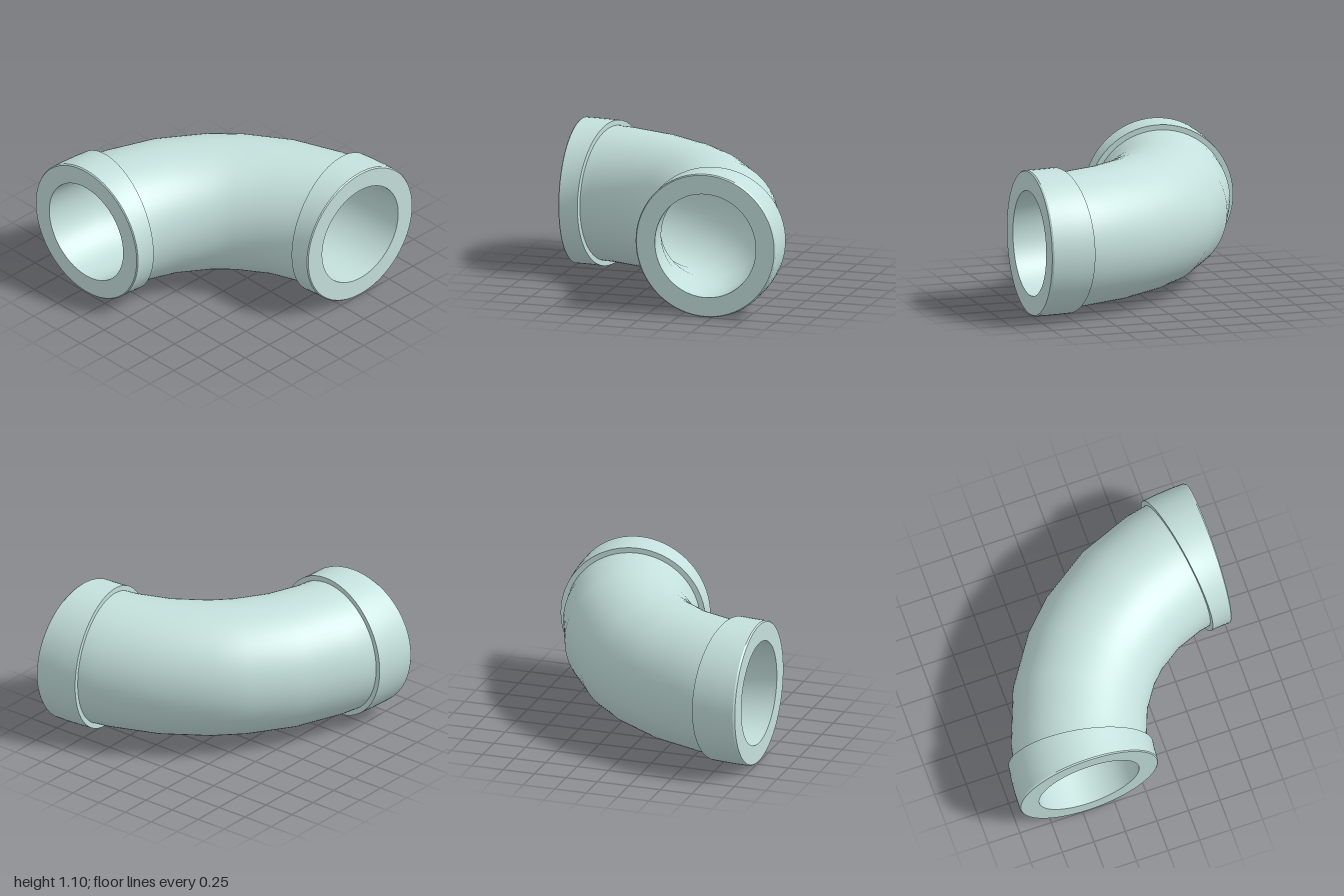
import * as THREE from 'three';

const SIDES = 72;
const BEND = 1.45;    // centreline radius of the elbow, about the corner x = 1, z = 1
const PIPE = 0.51, COLLAR = 0.55, BORE = 0.397, COLLAR_ANGLE = 10;

// Smooth skin through circular sections; each row is [bend angle in degrees, section radius]
function skin(rows, material, name) {
  const pos = [], index = [];
  for (const [deg, r] of rows) {
    const t = THREE.MathUtils.degToRad(deg);
    for (let j = 0; j < SIDES; j++) {
      const a = (j / SIDES) * Math.PI * 2;
      const R = BEND + r * Math.cos(a);
      pos.push(1 - R * Math.cos(t), COLLAR + r * Math.sin(a), 1 - R * Math.sin(t));
    }
  }
  for (let i = 0; i < rows.length - 1; i++) {
    for (let j = 0; j < SIDES; j++) {
      const k = (j + 1) % SIDES;
      const a = i * SIDES + j, b = i * SIDES + k;
      index.push(a, b, a + SIDES, b, b + SIDES, a + SIDES);
    }
  }
  const geo = new THREE.BufferGeometry();
  geo.setAttribute('position', new THREE.Float32BufferAttribute(pos, 3));
  geo.setIndex(index);
  geo.computeVertexNormals();
  const mesh = new THREE.Mesh(geo, material);
  mesh.name = name;
  return mesh;
}

export function createModel() {
  const model = new THREE.Group();
  model.name = 'pipeElbow';
  const material = new THREE.MeshStandardMaterial({ color: 0xc4e0dc });

  // Curved outer wall between the collars
  const half = [COLLAR_ANGLE, 14.7, 27.5, 40.6];
  const angles = [...half, ...half.map((d) => 90 - d).reverse()];
  model.add(skin(angles.map((d) => [d, PIPE]), material, 'pipeWall'));

  // Curved bore, facing inward
  const bore = [];
  for (let i = 7; i >= 0; i--) bore.push([(i * 90) / 7, BORE]);
  model.add(skin(bore, material, 'bore'));

  // Collars: end face, small bevel, outer band and shoulder as separate skins for crisp edges
  const bevel = 0.4;
  const collarParts = {
    EndFace: [[0, BORE], [0, COLLAR - 0.008]],
    Bevel: [[0, COLLAR - 0.008], [bevel, COLLAR]],
    Band: [[bevel, COLLAR], [3.5, COLLAR], [6.8, COLLAR], [COLLAR_ANGLE, COLLAR]],
    Shoulder: [[COLLAR_ANGLE, COLLAR], [COLLAR_ANGLE, PIPE - 0.01]],
  };
  for (const end of ['front', 'left']) {
    const collar = new THREE.Group();
    collar.name = end + 'Collar';
    for (const [part, rows] of Object.entries(collarParts)) {
      const placed = end === 'front' ? rows : rows.map(([d, r]) => [90 - d, r]).reverse();
      collar.add(skin(placed, material, end + 'Collar' + part));
    }
    model.add(collar);
  }
  return model;
}
